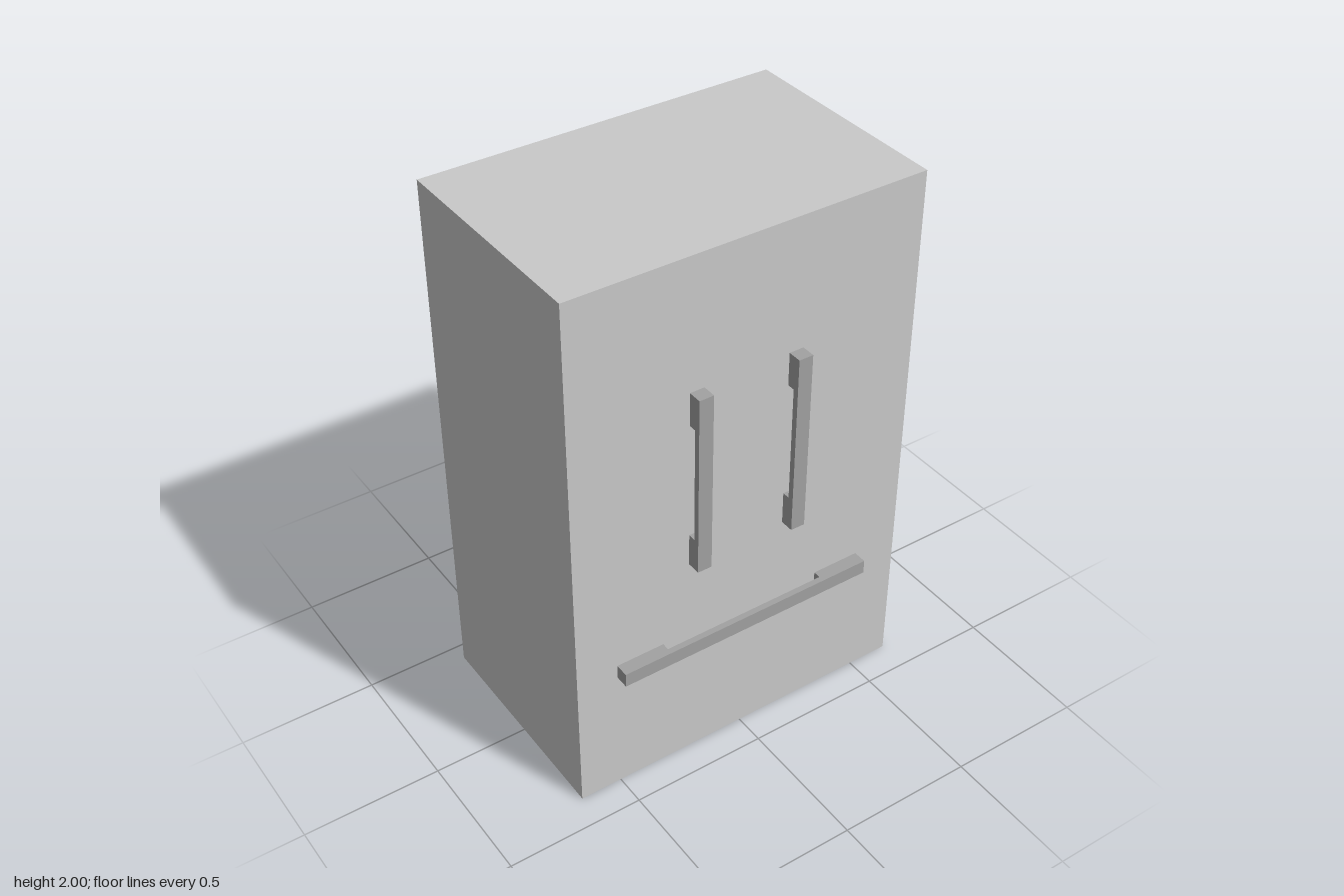
import * as THREE from 'three';

const FRONT = 0.386; // z of the cabinet's front face
const DEPTH = 0.05; // how far the handles stand out
const GRIP = 0.022; // thickness of the grip bar
const WIDTH = 0.053;

// U-shaped handle: a bar on two feet, lying along x with its feet at z = 0
function handleGeometry(length, gap) {
  const l = length / 2, g = gap / 2, inner = DEPTH - GRIP;
  const profile = new THREE.Shape([
    [-l, 0], [-g, 0], [-g, inner], [g, inner], [g, 0], [l, 0], [l, DEPTH], [-l, DEPTH],
  ].map(([x, y]) => new THREE.Vector2(x, y)));
  const geometry = new THREE.ExtrudeGeometry(profile, { depth: WIDTH, bevelEnabled: false });
  return geometry.translate(0, 0, -WIDTH / 2).rotateX(Math.PI / 2);
}

export function createModel() {
  const model = new THREE.Group();
  model.name = 'refrigerator';
  const bodyGrey = new THREE.MeshStandardMaterial({ name: 'light grey', color: 0xc9c9c9 });
  const handleGrey = new THREE.MeshStandardMaterial({ name: 'mid grey', color: 0xa2a2a2 });

  const add = (name, geometry, material, x, y, z) => {
    const mesh = new THREE.Mesh(geometry, material);
    mesh.name = name;
    mesh.position.set(x, y, z);
    model.add(mesh);
  };

  // Cabinet
  const back = -0.437;
  add('cabinet', new THREE.BoxGeometry(1.31, 2, FRONT - back), bodyGrey, 0, 1, (FRONT + back) / 2);

  // Upright door handles
  const doorHandle = handleGeometry(0.68, 0.435).rotateZ(Math.PI / 2);
  add('rightDoorHandle', doorHandle, handleGrey, -0.193, 1.18, FRONT);
  add('leftDoorHandle', doorHandle, handleGrey, 0.18, 1.18, FRONT);

  // Drawer handle
  add('drawerHandle', handleGeometry(0.986, 0.627), handleGrey, -0.008, 0.514, FRONT);

  return model;
}
